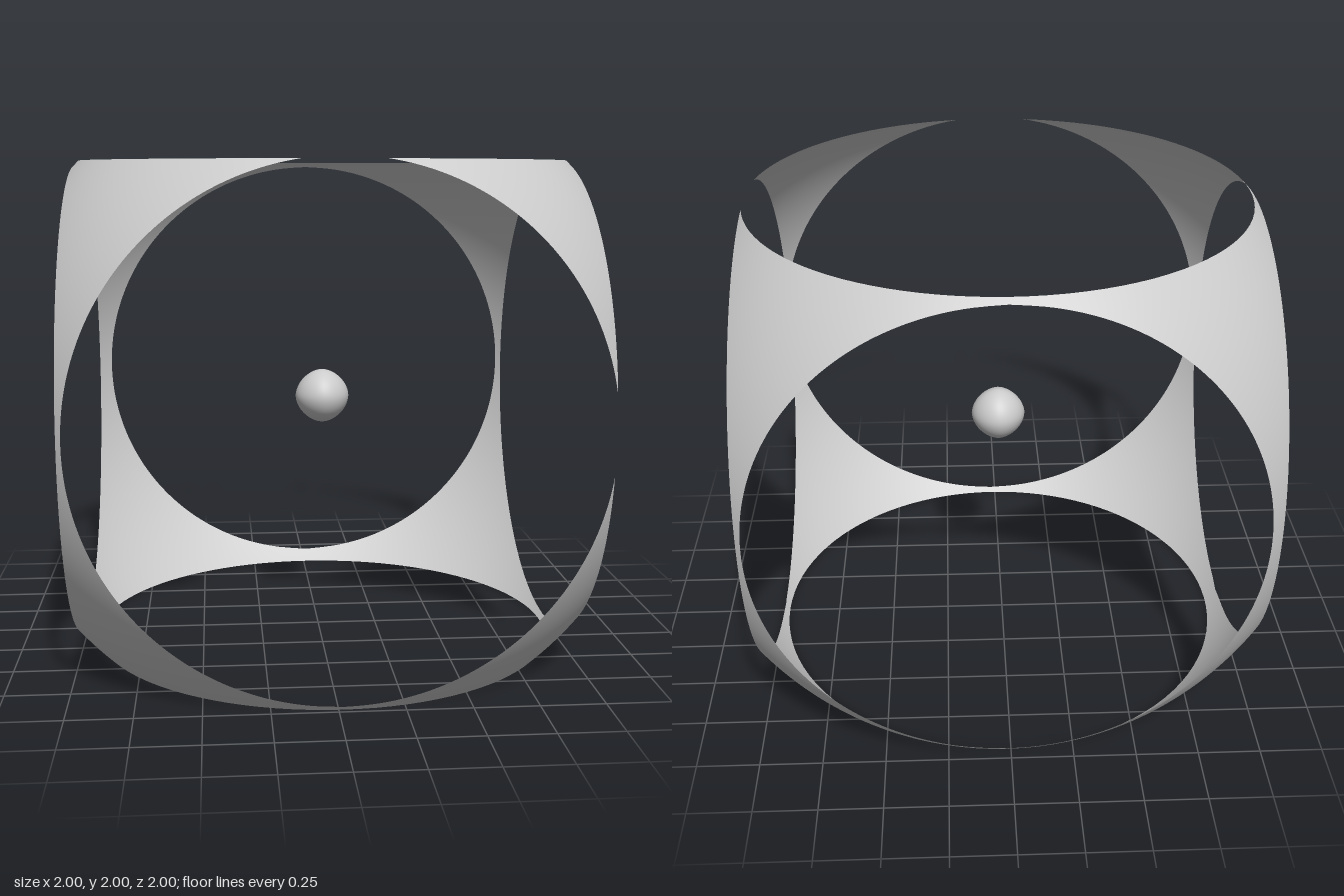
import * as THREE from 'three';
import { ParametricGeometry } from 'three/addons/geometries/ParametricGeometry.js';

const R = 1.4;                 // radius of the hollow shell
const OFF = 0.0156;            // shell and core sit slightly off the cube's centre
const HI = 1 - OFF, LO = 1 + OFF; // distances from the centre to the + and - cut planes
const ROWS = 160, COLS = 24;

// One quarter of the shell between two heights, cut by the x and z planes.
function shellStrip(sx, sz, y0, y1) {
  const lx = sx > 0 ? HI : LO;
  const lz = sz > 0 ? HI : LO;
  const point = (u, v, target) => {
    if (sx * sz > 0) u = 1 - u; // keeps the faces pointing outwards
    // rows crowd towards both ends, where the round openings close
    const y = THREE.MathUtils.lerp(y0, y1, (1 - Math.cos(Math.PI * v)) / 2);
    const r = Math.sqrt(R * R - y * y);
    const from = Math.acos(Math.min(1, lx / r));
    const to = Math.max(from, Math.asin(Math.min(1, lz / r)));
    const a = THREE.MathUtils.lerp(from, to, u);
    target.set(sx * r * Math.cos(a), y, sz * r * Math.sin(a));
  };
  const geometry = new ParametricGeometry(point, COLS, ROWS);
  // exact radial normals
  const p = geometry.attributes.position, n = geometry.attributes.normal;
  for (let i = 0; i < p.count; i++) n.setXYZ(i, p.getX(i) / R, p.getY(i) / R, p.getZ(i) / R);
  return geometry;
}

// Small ball, drawn out a little along the axes.
function coreGeometry(radius, power) {
  const geometry = new THREE.SphereGeometry(1, 40, 28);
  const p = geometry.attributes.position;
  for (let i = 0; i < p.count; i++) {
    const c = [p.getX(i), p.getY(i), p.getZ(i)];
    const k = radius / Math.pow(c.reduce((s, t) => s + Math.abs(t) ** power, 0), 1 / power);
    p.setXYZ(i, c[0] * k, c[1] * k, c[2] * k);
  }
  geometry.computeVertexNormals();
  return geometry;
}

export function createModel() {
  const model = new THREE.Group();
  model.name = 'openSphere';
  const shellMaterial = new THREE.MeshStandardMaterial({ color: 0xcccccc, side: THREE.DoubleSide });
  const coreMaterial = new THREE.MeshStandardMaterial({ color: 0xcccccc });

  // Shell: four upright quarters; the one at +x +z is broken at its waist
  const shell = new THREE.Group();
  shell.name = 'shell';
  const gap = Math.sqrt(R * R - 2 * HI * HI);
  for (const sx of [-1, 1]) {
    for (const sz of [-1, 1]) {
      const spans = sx > 0 && sz > 0 ? [[-LO, -gap], [gap, HI]] : [[-LO, HI]];
      for (const [y0, y1] of spans) {
        const mesh = new THREE.Mesh(shellStrip(sx, sz, y0, y1), shellMaterial);
        mesh.name = (sz > 0 ? 'front' : 'back') + (sx > 0 ? 'Left' : 'Right') + 'Shell' +
          (spans.length > 1 ? (y0 > 0 ? 'Upper' : 'Lower') : '');
        shell.add(mesh);
      }
    }
  }
  model.add(shell);

  // Core floating in the middle
  const core = new THREE.Mesh(coreGeometry(0.113, 1.8), coreMaterial);
  core.name = 'core';
  model.add(core);

  for (const part of model.children) part.position.set(OFF, 1 + OFF, OFF);
  return model;
}
